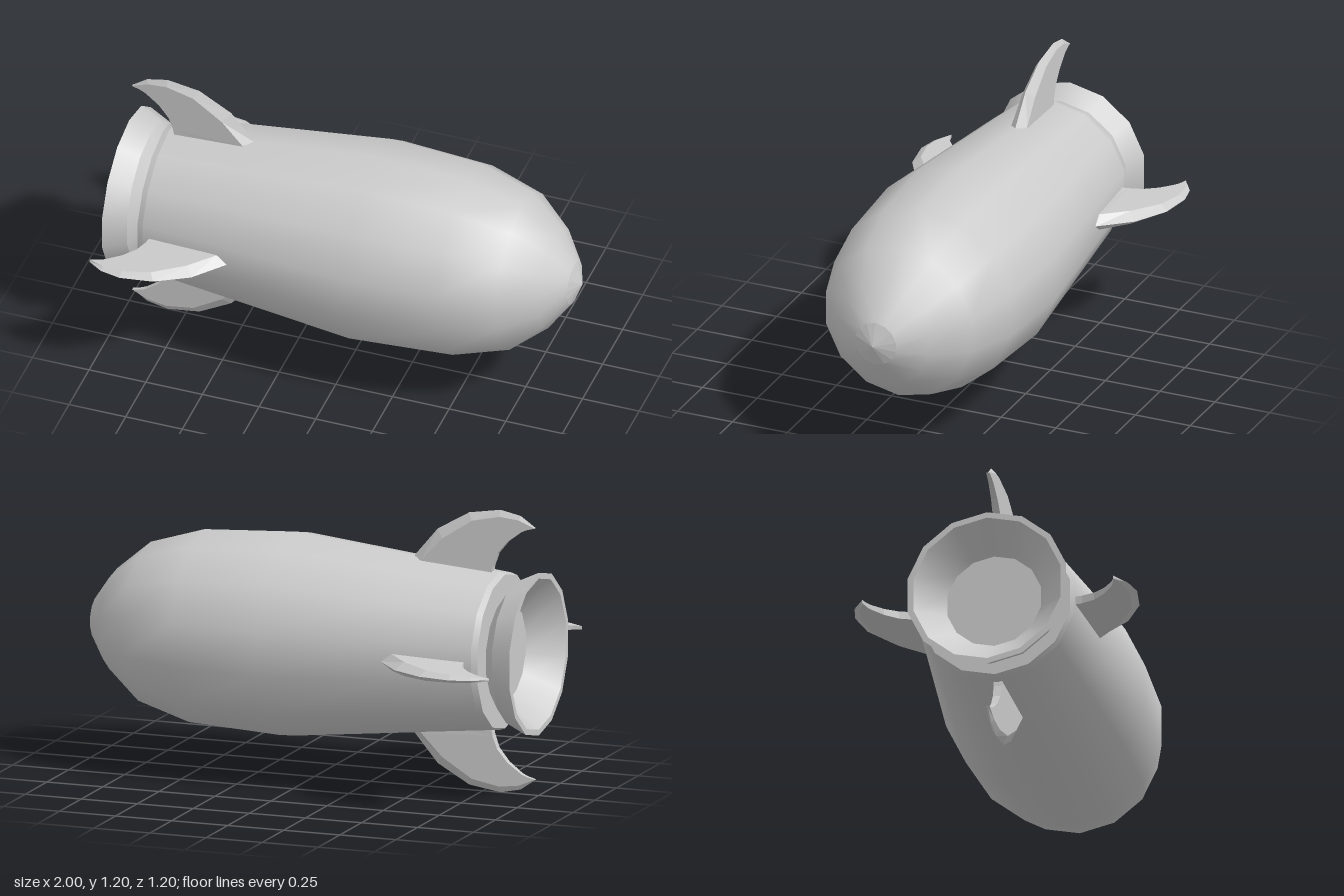
import * as THREE from 'three';

const SIDES = 14;
const material = new THREE.MeshStandardMaterial({ color: 0xcccccc });
const flatMaterial = new THREE.MeshStandardMaterial({ color: 0xcccccc, flatShading: true });

// Surface of revolution about the x axis; profile points are [x, radius], tail to nose
function turned(name, profile, mat = material) {
  const points = profile.map(([x, r]) => new THREE.Vector2(r, x));
  const mesh = new THREE.Mesh(new THREE.LatheGeometry(points, SIDES, Math.PI / 2), mat);
  mesh.rotation.z = -Math.PI / 2;
  mesh.name = name;
  return mesh;
}

// Curved fin lofted from root to tip: leading edge, bevel line and trailing edge as [x, radius]
function finGeometry() {
  const stations = [
    [[-0.39, 0.3], [-0.44, 0.3], [-0.79, 0.3]],
    [[-0.44, 0.37], [-0.49, 0.37], [-0.8, 0.36]],
    [[-0.55, 0.5], [-0.58, 0.465], [-0.82, 0.415]],
    [[-0.69, 0.58], [-0.71, 0.55], [-0.865, 0.47]],
    [[-0.83, 0.602], [-0.83, 0.575], [-0.925, 0.515]],
    [[-0.92, 0.583], [-0.915, 0.565], [-0.95, 0.526]],
    [[-0.985, 0.537], [-0.983, 0.536], [-0.985, 0.535]],
  ];
  // Thickness tapers towards the tail
  const half = x => 0.007 + 0.028 * Math.min(1, (x + 0.985) / 0.495);
  const rings = stations.map(([lead, bevel, trail]) => [
    [...lead, 0],
    [...bevel, half(bevel[0])],
    [...trail, half(trail[0])],
    [...trail, -half(trail[0])],
    [...bevel, -half(bevel[0])],
  ]);
  const positions = [];
  for (let i = 0; i < rings.length - 1; i++) {
    for (let j = 0; j < 5; j++) {
      const k = (j + 1) % 5;
      const a = rings[i][j], b = rings[i][k], c = rings[i + 1][k], d = rings[i + 1][j];
      positions.push(...a, ...d, ...c, ...a, ...c, ...b);
    }
  }
  // Close the tip
  const tip = rings[rings.length - 1];
  for (let j = 1; j < 4; j++) positions.push(...tip[0], ...tip[j + 1], ...tip[j]);
  const geometry = new THREE.BufferGeometry();
  geometry.setAttribute('position', new THREE.Float32BufferAttribute(positions, 3));
  geometry.computeVertexNormals();
  return geometry;
}

export function createModel() {
  const rocket = new THREE.Group();
  rocket.name = 'rocket';

  // Hull with a faceted nose tip
  rocket.add(turned('hull', [
    [-0.825, 0.337], [-0.45, 0.377], [0.09, 0.435], [0.49, 0.413],
    [0.73, 0.34], [0.88, 0.215], [0.965, 0.095],
  ]));
  rocket.add(turned('noseTip', [[0.965, 0.095], [1, 0]], flatMaterial));
  rocket.add(turned('hullBevel', [[-0.85, 0.328], [-0.825, 0.337]]));
  rocket.add(turned('hullBase', [[-0.85, 0.2], [-0.85, 0.328]]));

  // Flared exhaust nozzle
  const nozzle = new THREE.Group();
  nozzle.name = 'nozzle';
  nozzle.add(
    turned('nozzleNeck', [[-0.905, 0.303], [-0.85, 0.225]]),
    turned('nozzleCollar', [[-1, 0.347], [-0.905, 0.303]]),
    turned('nozzleRim', [[-1, 0.322], [-1, 0.347]]),
    turned('nozzleBell', [[-0.865, 0.205], [-1, 0.322]]),
    turned('nozzleThroat', [[-0.865, 0], [-0.865, 0.205]]),
  );
  rocket.add(nozzle);

  // Four fins around the tail
  const geometry = finGeometry();
  for (let i = 0; i < 4; i++) {
    const fin = new THREE.Mesh(geometry, flatMaterial);
    fin.name = 'fin' + (i + 1);
    fin.rotation.x = i * Math.PI / 2;
    rocket.add(fin);
  }

  rocket.position.y = 0.602;
  const model = new THREE.Group();
  model.add(rocket);
  return model;
}
